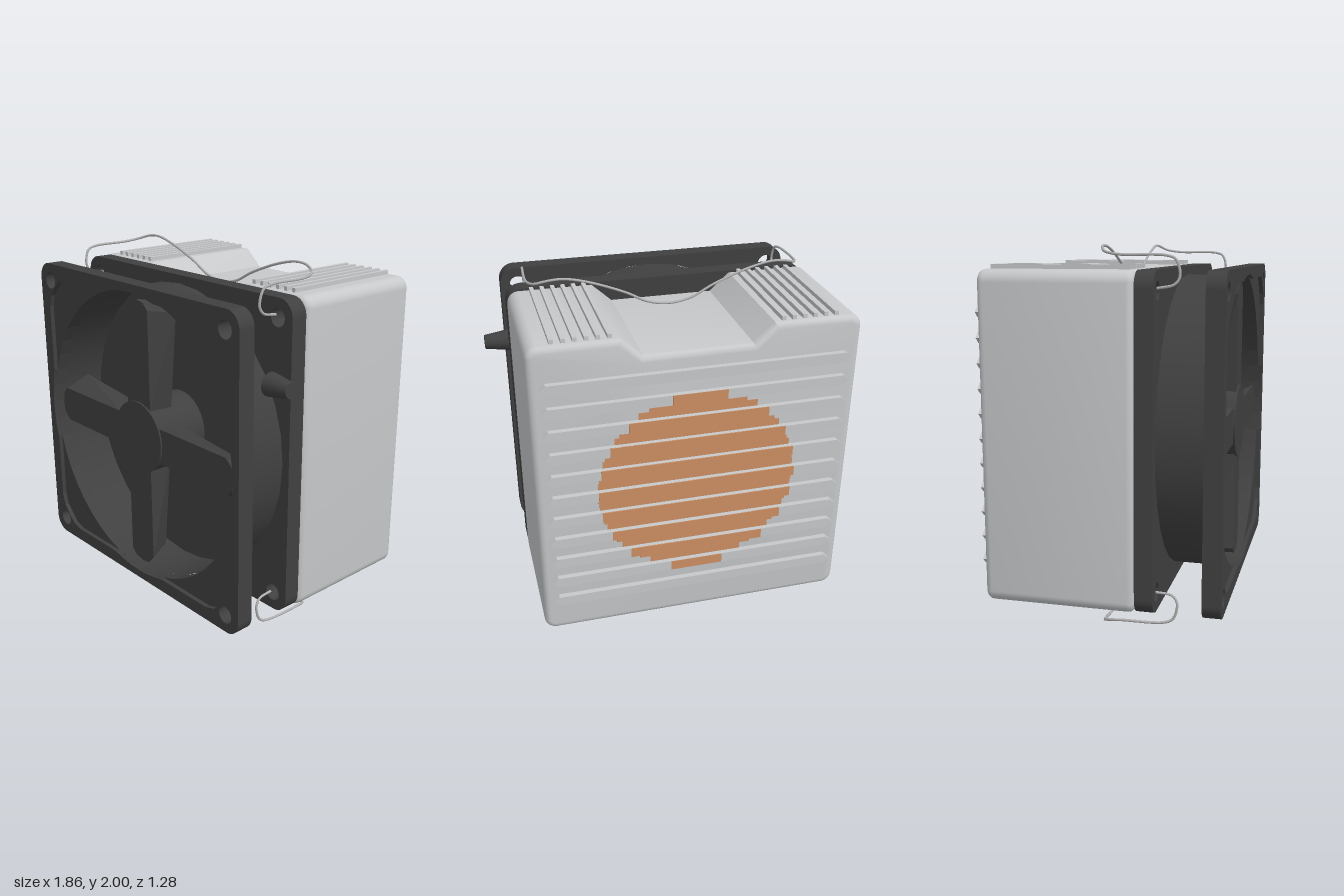
import * as THREE from 'three';
import { toCreasedNormals } from 'three/addons/utils/BufferGeometryUtils.js';

const HALF = 0.865, DUCT = 0.82, CY = 1.015;

function material(name, color) {
  const m = new THREE.MeshStandardMaterial({ color });
  m.name = name;
  return m;
}

function roundedSquare(h, r) {
  const s = new THREE.Shape();
  s.absarc(h - r, h - r, r, 0, Math.PI / 2);
  s.absarc(-h + r, h - r, r, Math.PI / 2, Math.PI);
  s.absarc(-h + r, -h + r, r, Math.PI, Math.PI * 1.5);
  s.absarc(h - r, -h + r, r, Math.PI * 1.5, Math.PI * 2);
  return s;
}

function circlePath(x, y, r) {
  return new THREE.Path().absarc(x, y, r, 0, Math.PI * 2, true);
}

// Rounded square plate with four screw holes
function plateShape(opening) {
  const s = roundedSquare(HALF, 0.09);
  for (const x of [-0.765, 0.765]) for (const y of [-0.765, 0.765]) s.holes.push(circlePath(x, y, 0.048));
  if (opening) s.holes.push(opening);
  return s;
}

const extrude = (shape, depth, segments = 12) =>
  new THREE.ExtrudeGeometry(shape, { depth, bevelEnabled: false, curveSegments: segments });

export function createModel() {
  const root = new THREE.Group();
  root.name = 'cooler';
  const model = new THREE.Group();
  model.name = 'coolerParts';
  model.position.set(-0.065, CY, 0);
  root.add(model);

  const grey = material('light grey metal', 0xc6c8ca);
  const dark = material('dark plastic', 0x404040);
  dark.side = THREE.DoubleSide;
  const copper = material('copper', 0xcb8e62);
  const steel = material('wire steel', 0xb0b0b0);

  function add(name, geometry, mat, x = 0, y = 0, z = 0, parent = model) {
    const mesh = new THREE.Mesh(geometry, mat);
    mesh.name = name;
    mesh.position.set(x, y, z);
    parent.add(mesh);
    return mesh;
  }

  // Heat sink body: rounded block with a channel along the top
  const b = 0.035, h = HALF - b, r = 0.03;
  const body = new THREE.Shape();
  body.absarc(-h + r, -h + r, r, Math.PI, Math.PI * 1.5);
  body.absarc(h - r, -h + r, r, -Math.PI / 2, 0);
  body.absarc(h - r, h - r, r, 0, Math.PI / 2);
  body.lineTo(0.41, h);
  body.lineTo(0.3, h - 0.1);
  body.lineTo(-0.3, h - 0.1);
  body.lineTo(-0.41, h);
  body.absarc(-h + r, h - r, r, Math.PI / 2, Math.PI);
  const bodyGeometry = new THREE.ExtrudeGeometry(body, {
    depth: 0.8 - 2 * b, bevelEnabled: true, bevelSize: b, bevelThickness: b, bevelSegments: 4, curveSegments: 5,
  });
  add('heatSinkBody', toCreasedNormals(bodyGeometry, 0.6), grey, 0, 0, -0.61 + b);

  // Fine ribs on both top shoulders
  for (const side of [-1, 1]) for (let i = 0; i < 6; i++)
    add('topRib', new THREE.BoxGeometry(0.022, 0.05, 0.725), grey, side * (0.447 + i * 0.057), 0.862, -0.2125);

  // Back fins with pointed ends, and the copper patch in stepped rows
  const fin = new THREE.Shape();
  [[-0.81, 0], [-0.78, -0.028], [0.78, -0.028], [0.81, 0], [0.78, 0.028], [-0.78, 0.028]]
    .forEach(([x, y], i) => (i ? fin.lineTo(x, y) : fin.moveTo(x, y)));
  const finGeometry = extrude(fin, 0.04);
  const copperRow = (y, height, z) => {
    const w = Math.sqrt(Math.max(0, 0.54 * 0.54 - y * y));
    if (w > 0.05) add('copperRow', new THREE.BoxGeometry(2 * w, height, 0.006), copper, 0, y, z);
  };
  for (let i = -5; i <= 5; i++) {
    add('backFin', finGeometry, grey, 0, i * 0.13, -0.64);
    copperRow(i * 0.13, 0.056, -0.64);
    copperRow(i * 0.13 + 0.0465, 0.037, -0.61);
    copperRow(i * 0.13 + 0.0835, 0.037, -0.61);
  }

  // Fan housing: back plate, round duct, front plate and recessed rim
  add('backPlate', extrude(plateShape(), 0.095), dark, 0, 0, 0.195);
  const duct = new THREE.CylinderGeometry(DUCT, DUCT, 0.26, 32, 1, true);
  duct.rotateX(Math.PI / 2);
  add('fanDuct', duct, dark, 0, 0, 0.415);
  add('frontPlate', extrude(plateShape(circlePath(0, 0, DUCT)), 0.07, 24), dark, 0, 0, 0.54);
  const opening = [];
  for (let i = 0; i < 96; i++) {
    const a = -i * Math.PI / 48, c = Math.cos(a), s = Math.sin(a);
    const d = Math.min(1.025, Math.max(DUCT, 0.79 / Math.max(Math.abs(c), Math.abs(s))));
    opening.push(new THREE.Vector2(c * d, s * d));
  }
  add('frontRim', extrude(plateShape(new THREE.Path(opening)), 0.025), dark, 0, 0, 0.61);

  // Fan hub and four slanted blades
  const hub = new THREE.CylinderGeometry(0.205, 0.205, 0.32, 32);
  hub.rotateX(Math.PI / 2);
  add('fanHub', hub, dark, 0, 0, 0.44);
  const blade = new THREE.Shape();
  [[-0.095, 0.17], [0.105, 0.17], [0.105, 0.73], [0.07, 0.765], [0.01, 0.778], [-0.05, 0.77], [-0.095, 0.72]]
    .forEach(([x, y], i) => (i ? blade.lineTo(x, y) : blade.moveTo(x, y)));
  const depth = 0.14;
  const bladeGeometry = extrude(blade, depth);
  const p = bladeGeometry.attributes.position;
  for (let i = 0; i < p.count; i++) {
    const back = 1 - p.getZ(i) / depth, u = p.getY(i);
    p.setX(i, p.getX(i) + back * 0.105 * (u - 0.12));
    p.setY(i, u - back * 0.02);
  }
  bladeGeometry.computeVertexNormals();
  for (let i = 0; i < 4; i++)
    add('fanBlade', bladeGeometry, dark, 0, 0, 0.45).rotation.z = i * Math.PI / 2;

  // Tapered plug on the left side of the fan
  const plug = new THREE.CylinderGeometry(0.04, 0.062, 0.143, 20);
  plug.rotateZ(-Math.PI / 2);
  add('sidePlug', plug, dark, 0.9235, 0.475, 0.42);

  // Spring wire clips: one half of the path, mirrored across the middle
  function clip(name, half) {
    const right = half.map(([x, y, z]) => new THREE.Vector3(x, y - CY, z));
    const left = right.slice(0, -1).reverse().map((v) => new THREE.Vector3(-v.x, v.y, v.z));
    const path = new THREE.CatmullRomCurve3([...right, ...left], false, 'centripetal');
    add(name, new THREE.TubeGeometry(path, 160, 0.007, 8), steel);
  }
  clip('topClip', [
    [0.74, 1.79, 0.28], [0.745, 1.81, 0.37], [0.745, 1.85, 0.395], [0.75, 1.93, 0.375], [0.755, 1.948, 0.33],
    [0.76, 1.952, 0.1], [0.73, 1.965, 0.02], [0.66, 1.988, -0.015], [0.58, 1.993, -0.02], [0.45, 1.965, -0.02],
    [0.25, 1.89, -0.02], [0.12, 1.825, -0.02], [0, 1.805, -0.02],
  ]);
  clip('bottomClip', [
    [0.74, 0.24, 0.28], [0.745, 0.23, 0.37], [0.75, 0.19, 0.395], [0.755, 0.11, 0.375], [0.76, 0.088, 0.33],
    [0.765, 0.08, 0.1], [0.74, 0.063, 0.02], [0.66, 0.03, -0.015], [0.5, 0.01, -0.02], [0.35, 0.025, -0.02],
    [0.15, 0.105, -0.02], [0, 0.13, -0.02],
  ]);

  return root;
}
